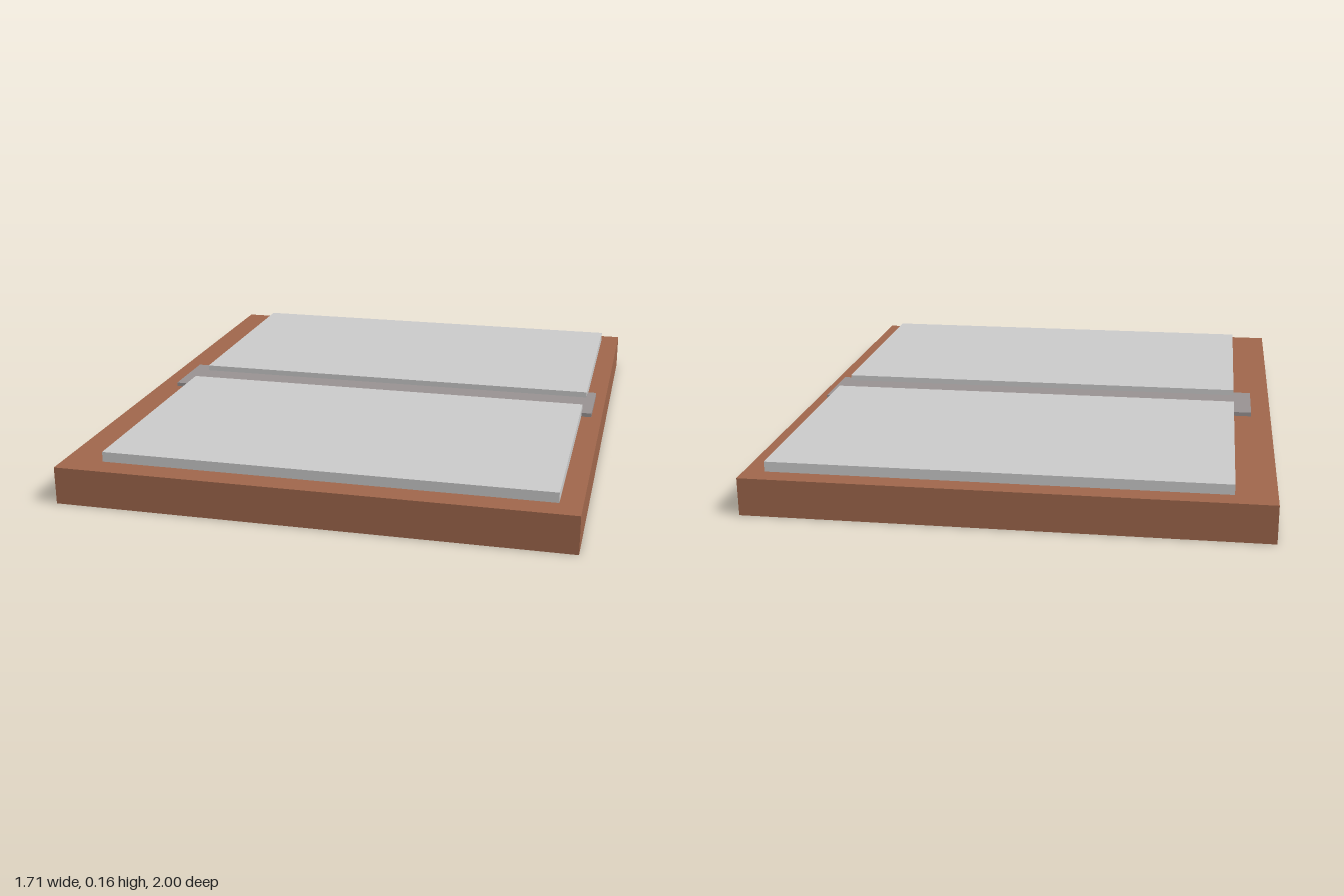
import * as THREE from 'three';

// Box given by its extents along each axis
function slab(name, color, [x0, x1], [y0, y1], [z0, z1]) {
  const mesh = new THREE.Mesh(
    new THREE.BoxGeometry(x1 - x0, y1 - y0, z1 - z0),
    new THREE.MeshStandardMaterial({ color })
  );
  mesh.position.set((x0 + x1) / 2, (y0 + y1) / 2, (z0 + z1) / 2);
  mesh.name = name;
  return mesh;
}

export function createModel() {
  const model = new THREE.Group();
  model.name = 'boardWithPanels';

  const baseTop = 0.127;
  model.add(
    // Thick brown base board
    slab('baseBoard', 0xa0674c, [-0.853, 0.853], [0, baseTop], [-1, 1]),
    // Thin strip across the middle, tucked under both panels
    slab('centreStrip', 0x999292, [-0.783, 0.816], [baseTop - 0.01, 0.141], [-0.143, 0.102]),
    // Two raised panels, slightly off centre
    slab('backPanel', 0xcccccc, [-0.72, 0.784], [baseTop - 0.01, 0.161], [-0.93, -0.079]),
    slab('frontPanel', 0xcccccc, [-0.72, 0.78], [baseTop - 0.01, 0.161], [0.065, 0.915])
  );
  return model;
}
